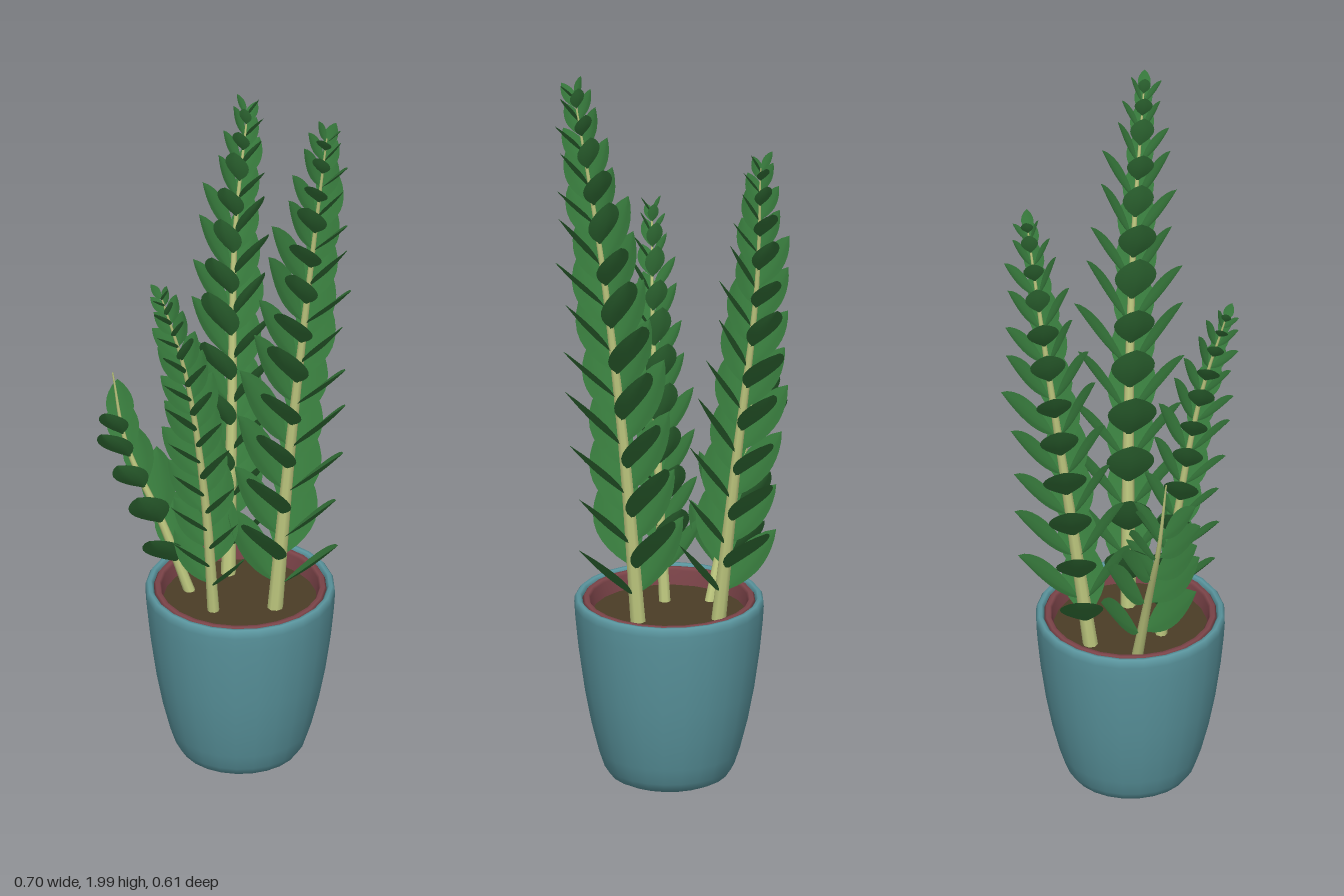
import * as THREE from 'three';
import { mergeGeometries } from 'three/addons/utils/BufferGeometryUtils.js';

const mat = (color, side = THREE.FrontSide) => new THREE.MeshStandardMaterial({ color, side });
const V = (x, y, z) => new THREE.Vector3(x, y, z);

// Unit leaf: an oval on a short stalk along +y, upper face towards +z, slightly cupped
function leafGeometry() {
  const g = new THREE.PlaneGeometry(1, 1, 4, 10);
  const p = g.attributes.position;
  for (let i = 0; i < p.count; i++) {
    const t = p.getY(i) + 0.5;
    const blade = Math.max(0, (t - 0.08) / 0.92);
    const half = 0.008 * (1 - t) + 0.25 * Math.pow(Math.max(0, Math.sin(Math.PI * Math.min(blade, 1))), 0.8);
    const x = p.getX(i) * 2 * half;
    p.setXYZ(i, x, t, Math.abs(x) * 0.22 - 0.03 * Math.sin(Math.PI * t));
  }
  g.computeVertexNormals();
  return g;
}

// Tube that narrows from r0 to r1
function taperedTube(curve, r0, r1) {
  const n = 20, sides = 8;
  const g = new THREE.TubeGeometry(curve, n, 1, sides, false);
  const p = g.attributes.position, v = V();
  for (let i = 0; i < p.count; i++) {
    const t = Math.floor(i / (sides + 1)) / n;
    const c = curve.getPointAt(t);
    v.fromBufferAttribute(p, i).sub(c).multiplyScalar(r0 + (r1 - r0) * t).add(c);
    p.setXYZ(i, v.x, v.y, v.z);
  }
  return g;
}

function createModel() {
  const model = new THREE.Group();
  const add = (name, geo, material, parent = model) => {
    const m = new THREE.Mesh(geo, material);
    m.name = name;
    parent.add(m);
    return m;
  };
  const lathe = pts => new THREE.LatheGeometry(pts.map(([x, y]) => new THREE.Vector2(x, y)), 24);

  // Pot with rounded foot and rolled rim
  const pot = new THREE.Group();
  pot.name = 'pot';
  pot.position.set(-0.017, 0, 0.017);
  model.add(pot);
  add('outerPot', lathe([[0.11, 0.002], [0.135, 0.002], [0.155, 0.012], [0.17, 0.035], [0.185, 0.08],
    [0.205, 0.16], [0.222, 0.25], [0.236, 0.35], [0.244, 0.43], [0.247, 0.475], [0.246, 0.49],
    [0.24, 0.498], [0.232, 0.498], [0.226, 0.49], [0.222, 0.44]]), mat(0x5a959e, THREE.DoubleSide), pot);
  add('innerPot', lathe([[0.224, 0.44], [0.225, 0.488], [0.22, 0.495], [0.21, 0.495], [0.205, 0.488],
    [0.198, 0.43]]), mat(0x7c4449, THREE.DoubleSide), pot);
  const soil = add('soil', new THREE.CircleGeometry(0.202, 24), mat(0x4b3d27), pot);
  soil.rotation.x = -Math.PI / 2;
  soil.position.y = 0.45;
  const base = add('potBase', new THREE.CircleGeometry(0.115, 24), mat(0x7a6450), pot);
  base.rotation.x = Math.PI / 2;
  base.position.y = 0.001;

  // Stalks: path, first and last leaf position, leaf pairs, leaf size,
  // stem radius, direction of the first pair, turn from pair to pair
  const stalks = [
    { name: 'tallStalk', path: [V(0.08, 0.44, 0), V(0.125, 0.95, -0.005), V(0.19, 1.5, 0), V(0.255, 1.94, 0.02)],
      from: 0.05, to: 0.99, pairs: 25, size: 0.245, r: 0.021, turn: -0.12, step: Math.PI / 2 },
    { name: 'backStalk', path: [V(-0.115, 0.44, -0.075), V(-0.14, 0.9, -0.13), V(-0.17, 1.4, -0.19), V(-0.16, 1.755, -0.235)],
      from: 0.06, to: 0.99, pairs: 23, size: 0.222, r: 0.02, turn: -0.08, step: Math.PI / 2 },
    { name: 'frontStalk', path: [V(-0.045, 0.44, 0.1), V(-0.045, 0.8, 0.14), V(-0.06, 1.2, 0.205), V(-0.092, 1.47, 0.275)],
      from: 0.08, to: 0.99, pairs: 21, size: 0.18, r: 0.016, turn: 0.1, step: Math.PI / 2 },
    { name: 'smallStalk', path: [V(-0.15, 0.44, 0.05), V(-0.215, 0.65, 0.085), V(-0.3, 0.88, 0.125), V(-0.328, 1.1, 0.148)],
      from: 0.14, to: 0.72, pairs: 5, size: 0.2, r: 0.015, turn: 1.2, step: Math.PI },
  ];
  const leafMat = mat(0x35763a, THREE.DoubleSide), stemMat = mat(0xc0ca80);
  const leaf = leafGeometry();

  for (const s of stalks) {
    const group = new THREE.Group();
    group.name = s.name;
    model.add(group);
    const curve = new THREE.CatmullRomCurve3(s.path);
    add('stem', taperedTube(curve, s.r, 0.002), stemMat, group);

    // Opposite leaf pairs, steeper and smaller towards the tip
    const leaves = [];
    for (let i = 0; i < s.pairs; i++) {
      const u = i / (s.pairs - 1);
      const t = s.from + (s.to - s.from) * (1 - Math.pow(1 - u, 1.25));
      const P = curve.getPointAt(t), T = curve.getTangentAt(t);
      const size = s.size * (1 - 0.74 * Math.pow(t, 3)) * (1 + 0.06 * Math.sin(i * 2.3));
      for (const flip of [0, Math.PI]) {
        const a = s.turn + i * s.step + flip + 0.15 * Math.sin(i * 1.7 + flip);
        const R = V(Math.cos(a), 0, Math.sin(a));
        R.addScaledVector(T, -R.dot(T)).normalize();
        const e = 0.84 + 0.2 * t + 0.08 * Math.sin(i * 3.1 + flip);
        const D = T.clone().multiplyScalar(Math.sin(e)).addScaledVector(R, Math.cos(e));
        const N = T.clone().multiplyScalar(Math.cos(e)).addScaledVector(R, -Math.sin(e));
        const W = D.clone().cross(N);
        const m = new THREE.Matrix4().makeBasis(W, D, N).scale(V(size, size, size)).setPosition(P);
        leaves.push(leaf.clone().applyMatrix4(m));
      }
    }
    add('leaves', mergeGeometries(leaves), leafMat, group);
  }
  return model;
}

export { createModel };
